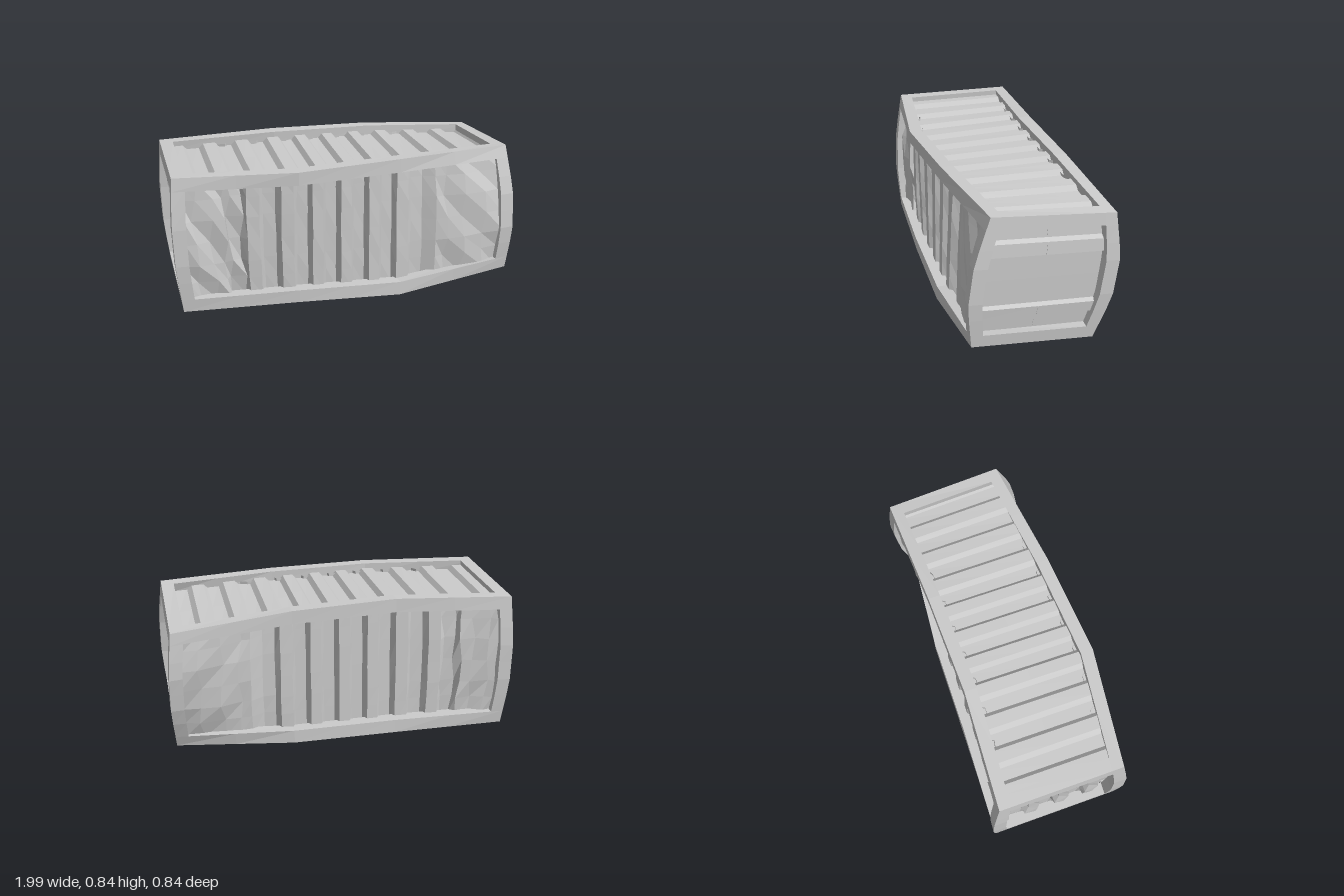
import * as THREE from 'three';

const material = new THREE.MeshStandardMaterial({ color: 0xcccccc, flatShading: true, side: THREE.DoubleSide });

// The four bent long edges of the crate, each with knots at thirds of its length
const EDGES = {
  bottomBack: [[-0.96, 0.01, -0.395], [-0.3, 0.01, -0.38], [0.3, 0.01, -0.37], [0.97, 0.03, -0.285]],
  bottomFront: [[-0.96, 0.03, 0.37], [-0.3, 0.025, 0.41], [0.3, 0, 0.42], [0.97, 0.09, 0.395]],
  topBack: [[-0.98, 0.81, -0.375], [-0.3, 0.84, -0.34], [0.3, 0.825, -0.355], [0.97, 0.765, -0.385]],
  topFront: [[-0.98, 0.82, 0.335], [-0.3, 0.82, 0.42], [0.3, 0.83, 0.375], [0.97, 0.83, 0.29]],
};
const lerp = THREE.MathUtils.lerp;

function edgePoint(points, u) {
  const t = u * 3, i = Math.min(2, Math.max(0, Math.floor(t)));
  return new THREE.Vector3(...points[i]).lerp(new THREE.Vector3(...points[i + 1]), t - i);
}

// Maps a straight crate (x -1..1, y 0..1, z -1..1) to the battered one
function warp(x, y, z) {
  const u = (x + 1) / 2, w = (z + 1) / 2;
  const low = edgePoint(EDGES.bottomBack, u).lerp(edgePoint(EDGES.bottomFront, u), w);
  const high = edgePoint(EDGES.topBack, u).lerp(edgePoint(EDGES.topFront, u), w);
  const p = low.lerp(high, y);
  // Corner posts bow outward in the middle of their height
  const bow = THREE.MathUtils.clamp(Math.min(y, 1 - y) * 3, 0, 1);
  const end = Math.max(0, (Math.abs(x) - 1 / 3) * 1.5);
  p.z += z * bow * end * (x > 0 ? 0.058 : 0.03);
  p.x += Math.sign(x) * bow * end * 0.024;
  return p;
}

function warpedMesh(name, geometry) {
  const pos = geometry.attributes.position;
  for (let i = 0; i < pos.count; i++) {
    const p = warp(pos.getX(i), pos.getY(i), pos.getZ(i));
    pos.setXYZ(i, p.x, p.y, p.z);
  }
  const flat = geometry.toNonIndexed();
  flat.computeVertexNormals();
  const mesh = new THREE.Mesh(flat, material);
  mesh.name = name;
  return mesh;
}

// Beam between two opposite corners in straight crate coordinates
function beam(name, a, b, segments) {
  const size = b.map((v, i) => v - a[i]);
  const geometry = new THREE.BoxGeometry(...size, ...segments);
  geometry.translate(...a.map((v, i) => (v + b[i]) / 2));
  return warpedMesh(name, geometry);
}

// Sheet spanned by two lists of stations; place(s, t, i, j) gives each corner
function sheet(name, across, along, place) {
  const geometry = new THREE.PlaneGeometry(1, 1, across.length - 1, along.length - 1);
  const pos = geometry.attributes.position;
  along.forEach((t, j) => across.forEach((s, i) => {
    pos.setXYZ(j * across.length + i, ...place(s, t, i, j));
  }));
  return warpedMesh(name, geometry);
}

// Trapezoidal corrugation as [position, depth 0 or 1] pairs
function ribs(from, to, period) {
  const out = [];
  const slope = period * 0.13;
  for (let s = from; s < to - period * 0.6; s += period) {
    out.push([s, 0], [s + period * 0.37, 0], [s + period * 0.37 + slope, 1], [s + period - slope, 1]);
  }
  out.push([to, 0]);
  return out;
}

export function createModel() {
  const group = new THREE.Group();
  group.name = 'batteredContainer';
  const BX = 0.072, BY = 0.095, BZ = 0.19;

  // Frame: long rails, corner posts and end crossbeams
  const frame = new THREE.Group();
  frame.name = 'frame';
  for (const top of [0, 1]) {
    const y0 = top ? 1 - BY : 0, y1 = y0 + BY;
    for (const side of [-1, 1]) {
      const z0 = side > 0 ? 1 - BZ : -1;
      frame.add(beam('longRail', [-1, y0, z0], [1, y1, z0 + BZ], [6, 1, 1]));
      const x0 = side > 0 ? 1 - BX : -1;
      frame.add(beam('endCrossbeam', [x0, y0, -1 + BZ], [x0 + BX, y1, 1 - BZ], [1, 1, 1]));
    }
  }
  for (const sx of [-1, 1]) for (const sz of [-1, 1]) {
    const x0 = sx > 0 ? 1 - BX : -1, z0 = sz > 0 ? 1 - BZ : -1;
    frame.add(beam('cornerPost', [x0, BY, z0], [x0 + BX, 1 - BY, z0 + BZ], [1, 6, 1]));
  }
  group.add(frame);

  // Long walls: ribbed, crumpled near one end, smooth and bulging at the other
  const heights = [0.05, 0.2, 1 / 3, 0.5, 2 / 3, 0.82, 0.95];
  const smooth = [[0.62, -0.1], [0.72, -0.5], [0.84, -0.6], [0.94, -0.5]];
  const wallProfile = [[-0.94, -0.4], [-0.88, -0.3], ...ribs(-0.79, 0.56, 0.186), ...smooth];
  for (const side of [-1, 1]) {
    group.add(sheet(side > 0 ? 'frontWall' : 'backWall', wallProfile, heights, ([x, d], y, i, j) => {
      const crush = x < -0.62 || x > 0.6 ? 1 : 0.12;
      const dent = Math.sin(i * 2.3 + j * 1.9 + side) * 0.03 * crush;
      return [x + dent * 0.5, y, side * (0.86 - d * 0.1 + dent)];
    }));
  }

  // Roof with ribs across, and a plain floor
  const depths = [-0.9, 0, 0.9];
  group.add(sheet('roof', ribs(-0.94, 0.94, 0.188), depths,
    ([x, d], z) => [x, 0.962 - d * 0.032, z]));
  group.add(sheet('floor', [-0.94, -1 / 3, 1 / 3, 0.94], depths, (x, z) => [x, 0.04, z]));

  // Plain end panel with two raised horizontal bands
  const bands = [[0.05, 0], [0.2, 0], [0.205, 1], [0.285, 1], [0.305, 0], [0.5, 0],
    [0.685, 0], [0.69, 1], [0.785, 1], [0.805, 0], [0.95, 0]];
  group.add(sheet('bandedEnd', bands, depths, ([y, d], z) => [0.945 + d * 0.022, y, z]));

  // Narrow seams down the middle of the banded end
  for (const [y0, y1, x] of [[0.81, 0.9, 0.945], [0.695, 0.78, 0.967], [0.21, 0.28, 0.967], [0.11, 0.17, 0.945]]) {
    group.add(beam('endSeam', [x - 0.004, y0, -0.008], [x + 0.002, y1, 0.008], [1, 1, 1]));
  }

  // Opposite end with upright ribs, slightly dented
  group.add(sheet('ribbedEnd', ribs(-0.92, 0.92, 0.46), heights, ([z, d], y, i, j) => {
    const dent = Math.sin(i * 1.7 + j * 2.1);
    return [-0.955 + d * 0.035 + dent * 0.006, y, z + lerp(0, 0.03, dent)];
  }));

  return group;
}
